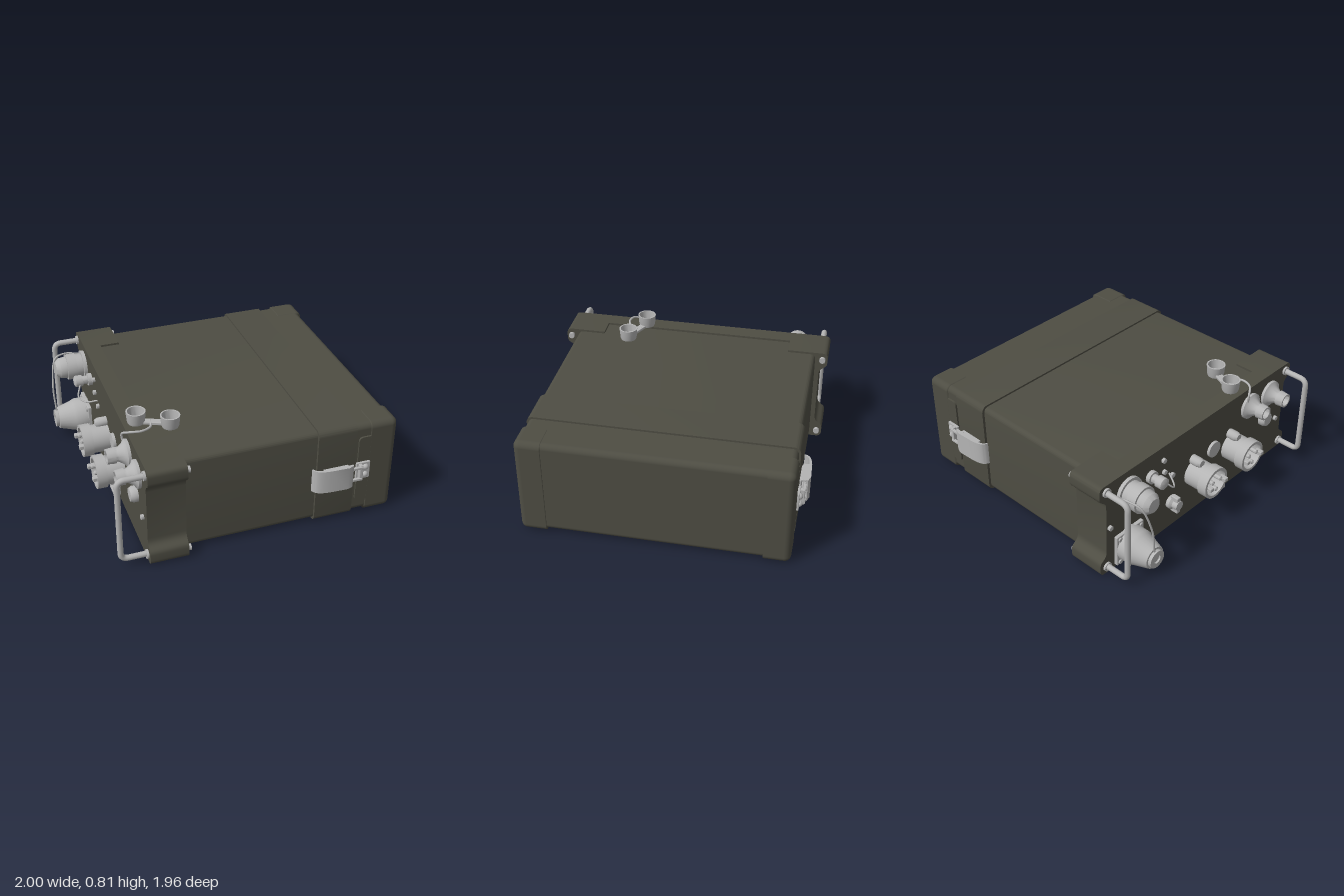
import * as THREE from 'three';
import { toCreasedNormals } from 'three/addons/utils/BufferGeometryUtils.js';
import { RoundedBoxGeometry } from 'three/addons/geometries/RoundedBoxGeometry.js';

const olive = new THREE.MeshStandardMaterial({ color: 0x4e4d43 });
olive.name = 'olive paint';
const metal = new THREE.MeshStandardMaterial({ color: 0xb4b4b4, side: THREE.DoubleSide });
metal.name = 'grey metal';

const V = (x, y, z) => new THREE.Vector3(x, y, z);
const PANEL = -0.74, MID = 0.3625;

function add(parent, name, geometry, material, x = 0, y = 0, z = 0) {
  const mesh = new THREE.Mesh(geometry, material);
  mesh.name = name;
  mesh.position.set(x, y, z);
  parent.add(mesh);
  return mesh;
}

function roundedRect(x0, y0, x1, y1, r) {
  const s = new THREE.Shape();
  s.absarc(x1 - r, y0 + r, r, -Math.PI / 2, 0);
  s.absarc(x1 - r, y1 - r, r, 0, Math.PI / 2);
  s.absarc(x0 + r, y1 - r, r, Math.PI / 2, Math.PI);
  s.absarc(x0 + r, y0 + r, r, Math.PI, Math.PI * 1.5);
  s.closePath();
  return s;
}

// extrude a (z, y) section along x
function alongX(shape, x0, x1) {
  const g = new THREE.ExtrudeGeometry(shape, { depth: x1 - x0, bevelEnabled: false, curveSegments: 8 });
  return toCreasedNormals(g.rotateY(Math.PI / 2).translate(x0, 0, 0), 0.6);
}

// flange side: two lobes joined by a waist; inner edge at "inner"
function flangeHalf(inner) {
  const s = new THREE.Shape();
  s.moveTo(inner, 0);
  s.lineTo(0.94, 0);
  s.quadraticCurveTo(0.98, 0, 0.98, 0.04);
  s.lineTo(0.98, 0.08);
  s.bezierCurveTo(0.98, 0.13, 0.922, 0.11, 0.922, 0.18);
  s.lineTo(0.922, 0.545);
  s.bezierCurveTo(0.922, 0.615, 0.98, 0.595, 0.98, 0.645);
  s.lineTo(0.98, 0.685);
  s.quadraticCurveTo(0.98, 0.725, 0.94, 0.725);
  s.lineTo(inner, 0.725);
  s.closePath();
  return s;
}

// turned part whose axis points out of the connector panel; points are [radius, distance]
function turned(parent, name, y, z, points, sides = 32) {
  const g = new THREE.LatheGeometry(points.map(p => new THREE.Vector2(...p)), sides).rotateZ(Math.PI / 2);
  return add(parent, name, toCreasedNormals(g, 0.6), metal, PANEL, y, z);
}

function tube(parent, name, points, r, n = 32) {
  return add(parent, name, new THREE.TubeGeometry(new THREE.CatmullRomCurve3(points), n, r, 8), metal);
}

function box(parent, name, w, h, d, x, y, z) {
  return add(parent, name, new RoundedBoxGeometry(w, h, d, 2, Math.min(w, h, d) * 0.2), metal, x, y, z);
}

function buildCase(root) {
  add(root, 'mainCase', alongX(roundedRect(-0.89, 0.018, 0.89, 0.71, 0.035), -0.7, 0.72), olive);
  add(root, 'rearBand', alongX(roundedRect(-0.908, 0.004, 0.908, 0.723, 0.045), 0.43, 0.705), olive);
  add(root, 'endCover', new RoundedBoxGeometry(0.33, 0.695, 1.79, 5, 0.04), olive, 0.82, MID, 0);
  for (const s of [1, -1]) {
    // corner guard: a rounded block with its inner faces pulled to flat planes
    const g = new RoundedBoxGeometry(0.5, 0.715, 0.5, 5, 0.045).translate(0.75, MID, s * 0.66);
    const p = g.attributes.position;
    for (let i = 0; i < p.count; i++) {
      p.setX(i, Math.max(p.getX(i), 0.81));
      p.setZ(i, s * Math.max(s * p.getZ(i), 0.73));
    }
    add(root, 'cornerGuard', g, olive);
    const tab = new THREE.ExtrudeGeometry(roundedRect(0.725, 0.105, 0.87, 0.62, 0.03), { depth: 0.03, bevelEnabled: false });
    add(root, 'guardTab', tab, olive, 0, 0, s > 0 ? 0.878 : -0.908);

    const half = alongX(flangeHalf(0.69), -0.74, -0.48);
    if (s < 0) half.rotateX(Math.PI).translate(0, 0.725, 0);
    add(root, 'flangeSide', half, olive);
  }
  add(root, 'flangeCentre', new THREE.BoxGeometry(0.12, 0.725, 1.4), olive, -0.68, MID, 0);
}

function buildHandles(root) {
  for (const z of [0.922, -0.922]) {
    const a = V(-0.72, 0.06, z), b = V(-0.87, 0.06, z), c = V(-0.922, 0.11, z);
    const d = V(-0.922, 0.62, z), e = V(-0.87, 0.672, z), f = V(-0.72, 0.672, z);
    const path = new THREE.CurvePath();
    path.add(new THREE.LineCurve3(a, b));
    path.add(new THREE.QuadraticBezierCurve3(b, V(-0.922, 0.06, z), c));
    path.add(new THREE.LineCurve3(c, d));
    path.add(new THREE.QuadraticBezierCurve3(d, V(-0.922, 0.672, z), e));
    path.add(new THREE.LineCurve3(e, f));
    add(root, 'handle', new THREE.TubeGeometry(path, 90, 0.02, 12), metal);
    for (const y of [0.055, 0.675]) {
      const bolt = add(root, 'flangeBolt', new THREE.CylinderGeometry(0.022, 0.022, 0.03, 16), metal, -0.472, y, Math.sign(z) * 0.943);
      bolt.rotation.z = Math.PI / 2;
      turned(root, 'handleFoot', y, z, [[0.032, 0], [0.032, 0.015], [0.02, 0.015]], 16);
    }
  }
}

function buildLatches(root) {
  for (const s of [1, -1]) {
    const latch = new THREE.Group();
    latch.name = 'latch';
    latch.position.y = 0.365;
    if (s < 0) latch.rotation.x = Math.PI;
    root.add(latch);
    // curved lever, drawn in plan and extruded over its height
    const plan = new THREE.Shape();
    plan.moveTo(0.39, 0.915);
    plan.bezierCurveTo(0.4, 0.955, 0.43, 0.968, 0.5, 0.975);
    plan.lineTo(0.63, 0.98);
    plan.lineTo(0.67, 0.965);
    plan.lineTo(0.67, 0.95);
    plan.lineTo(0.5, 0.955);
    plan.bezierCurveTo(0.44, 0.955, 0.41, 0.945, 0.4, 0.915);
    const lever = new THREE.ExtrudeGeometry(plan, { depth: 0.17, bevelEnabled: false }).rotateX(Math.PI / 2);
    add(latch, 'lever', toCreasedNormals(lever, 0.6), metal, 0, 0.085, 0);
    box(latch, 'latchBase', 0.17, 0.12, 0.012, 0.57, 0, 0.914);
    for (const y of [0.06, -0.06]) {
      box(latch, 'leverCheek', 0.18, 0.015, 0.05, 0.56, y, 0.94);
      box(latch, 'latchArm', 0.11, 0.018, 0.02, 0.69, y * 0.75, 0.95);
    }
    const pin = add(latch, 'pivotPin', new THREE.CylinderGeometry(0.014, 0.014, 0.14, 12), metal, 0.64, 0, 0.945);
    pin.name = 'pivotPin';
    box(latch, 'hookBar', 0.025, 0.12, 0.04, 0.735, 0, 0.935);
    box(latch, 'hookPlate', 0.1, 0.13, 0.018, 0.76, 0, 0.916);
    for (const y of [0.03, -0.03]) {
      add(latch, 'rivet', new THREE.SphereGeometry(0.022, 12, 8), metal, 0.775, y, 0.924);
    }
  }
}

function buildConnectors(root) {
  // large tapered power connector with a square mount
  box(root, 'powerMount', 0.03, 0.24, 0.25, -0.75, 0.14, -0.73);
  turned(root, 'powerConnector', 0.145, -0.73, [[0.125, 0], [0.125, 0.1], [0.115, 0.12], [0.08, 0.235], [0.065, 0.235], [0.065, 0.258], [0.03, 0.258], [0.03, 0.245], [0, 0.245]], 24);
  for (let i = 0; i < 4; i++) {
    const a = Math.PI / 4 + i * Math.PI / 2;
    turned(root, 'mountScrew', 0.14 + 0.135 * Math.sin(a), -0.73 + 0.14 * Math.cos(a), [[0.015, 0], [0.015, 0.035], [0, 0.035]], 12);
  }
  // domed capped connector
  turned(root, 'cappedConnector', 0.57, -0.73, [[0.105, 0], [0.105, 0.025], [0.085, 0.025], [0.085, 0.07], [0.095, 0.07], [0.095, 0.14], [0.08, 0.14], [0.075, 0.19], [0.05, 0.22], [0, 0.225]]);
  tube(root, 'capTether', [V(-0.76, 0.6, -0.85), V(-0.86, 0.62, -0.85), V(-0.94, 0.6, -0.83), V(-0.985, 0.4, -0.77), V(-0.98, 0.2, -0.74)], 0.007);

  // pair of open multi-pin sockets
  for (const z of [-0.075, 0.32]) {
    turned(root, 'openSocket', 0.34, z, [[0.1, 0], [0.1, 0.125], [0.115, 0.125], [0.115, 0.195], [0.095, 0.195], [0.095, 0.08], [0, 0.08]]);
    for (let i = 0; i < 3; i++) {
      const a = i * Math.PI * 2 / 3 + 0.5;
      turned(root, 'socketPin', 0.34 + 0.045 * Math.sin(a), z + 0.045 * Math.cos(a), [[0.016, 0.08], [0.016, 0.2], [0, 0.21]], 10);
    }
    for (const d of [-0.075, 0.075]) box(root, 'socketLug', 0.06, 0.03, 0.035, -0.935, 0.34, z + d);
    turned(root, 'socketLatch', 0.455, z - 0.02, [[0.035, 0], [0.035, 0.06], [0.025, 0.085], [0, 0.085]], 16);
  }

  // antenna jacks with stepped bases
  for (const [y, z] of [[0.58, 0.51], [0.57, 0.74]]) {
    turned(root, 'antennaJack', y, z, [[0.095, 0], [0.095, 0.02], [0.07, 0.035], [0.045, 0.075], [0.045, 0.09], [0.055, 0.09], [0.05, 0.148], [0.038, 0.148], [0.038, 0.09], [0, 0.09]]);
  }
  // small threaded jack with a chain
  turned(root, 'smallJack', 0.56, -0.52, [[0.045, 0], [0.045, 0.03], [0.03, 0.03], [0.03, 0.07], [0.042, 0.07], [0.042, 0.12], [0.025, 0.13], [0, 0.13]], 20);
  tube(root, 'jackTether', [V(-0.83, 0.55, -0.49), V(-0.86, 0.48, -0.43), V(-0.82, 0.46, -0.38), V(-0.745, 0.48, -0.34)], 0.006);

  // knobs, fuse caps and screws
  turned(root, 'selectorKnob', 0.22, -0.31, [[0.05, 0], [0.05, 0.025], [0.035, 0.04], [0.035, 0.08], [0, 0.085]], 20);
  box(root, 'selectorGrip', 0.06, 0.13, 0.035, -0.785, 0.22, -0.31);
  turned(root, 'fuseCap', 0.38, 0.69, [[0.055, 0], [0.055, 0.03], [0.045, 0.05], [0, 0.055]], 20);
  turned(root, 'blankingDisc', 0.42, 0.12, [[0.06, 0], [0.06, 0.02], [0, 0.025]], 24);
  for (const [y, z] of [[0.62, -0.4], [0.52, -0.39], [0.37, -0.9], [0.3, 0.84], [0.45, -0.31]]) {
    turned(root, 'panelScrew', y, z, [[0.018, 0], [0.018, 0.02], [0, 0.025]], 12);
  }
  // small U bracket near the lower edge
  box(root, 'bracketBase', 0.05, 0.025, 0.12, -0.765, 0.05, 0.17);
  for (const z of [0.12, 0.22]) box(root, 'bracketCheek', 0.05, 0.07, 0.02, -0.765, 0.075, z);
}

function buildDustCaps(root) {
  const cup = [[0, 0], [0.055, 0], [0.06, 0.015], [0.066, 0.085], [0.056, 0.085], [0.05, 0.02], [0, 0.02]];
  for (const [x, y, z] of [[-0.65, 0.727, 0.395], [-0.445, 0.713, 0.49]]) {
    const g = new THREE.LatheGeometry(cup.map(p => new THREE.Vector2(...p)), 32);
    add(root, 'dustCap', toCreasedNormals(g, 0.6), metal, x, y, z);
  }
  const strap = box(root, 'capStrap', 0.16, 0.02, 0.05, -0.54, 0.735, 0.445);
  strap.rotation.y = -0.43;
  tube(root, 'capLanyard', [V(-0.56, 0.74, 0.42), V(-0.58, 0.735, 0.49), V(-0.65, 0.74, 0.53), V(-0.73, 0.735, 0.51), V(-0.765, 0.7, 0.46), V(-0.76, 0.64, 0.46)], 0.008);
}

export function createModel() {
  const root = new THREE.Group();
  root.name = 'equipmentCase';
  const body = new THREE.Group();
  body.name = 'caseAndFittings';
  body.position.z = -0.005;
  root.add(body);
  buildCase(body);
  buildHandles(body);
  buildLatches(body);
  buildConnectors(root);
  buildDustCaps(root);
  return root;
}
